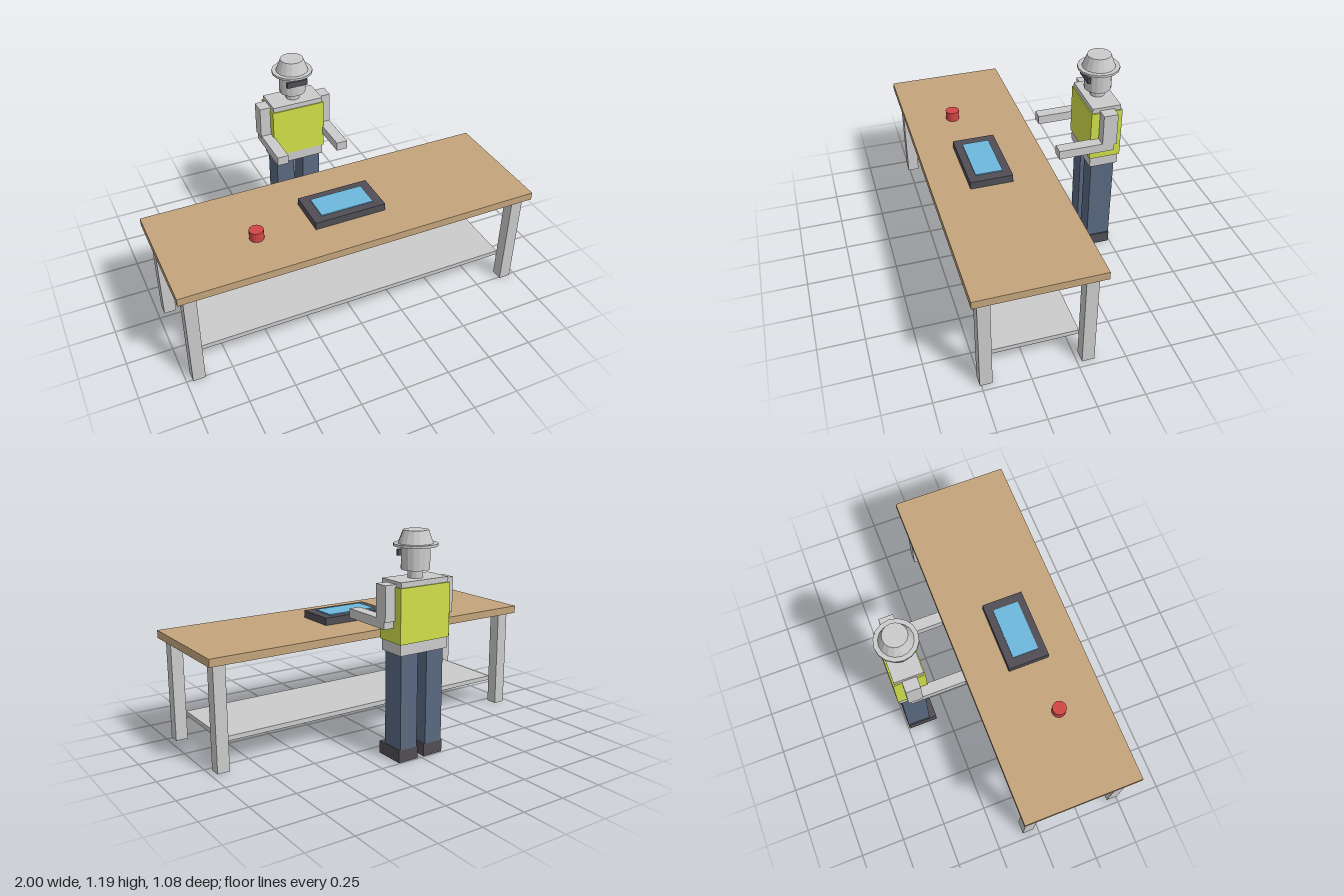
import * as THREE from 'three';

const mat = (color) => new THREE.MeshStandardMaterial({ color, flatShading: true });

export function createModel() {
  const root = new THREE.Group();
  const grey = mat(0xcccccc), wood = mat(0xc4a57c), dark = mat(0x504e54);
  const denim = mat(0x5a6880), lime = mat(0xd0e04a), red = mat(0xd24545), blue = mat(0x6cb8dc);

  const group = (name) => {
    const g = new THREE.Group();
    g.name = name;
    root.add(g);
    return g;
  };
  const add = (parent, name, geometry, material, x, y, z) => {
    const mesh = new THREE.Mesh(geometry, material);
    mesh.name = name;
    mesh.position.set(x, y, z);
    parent.add(mesh);
  };
  // box given by its extents along each axis
  const box = (parent, name, material, [x0, x1], [y0, y1], [z0, z1]) =>
    add(parent, name, new THREE.BoxGeometry(x1 - x0, y1 - y0, z1 - z0), material,
      (x0 + x1) / 2, (y0 + y1) / 2, (z0 + z1) / 2);
  // upright cylinder or cone section between two heights
  const drum = (parent, name, material, rTop, rBottom, [y0, y1], x, z, sides = 16) =>
    add(parent, name, new THREE.CylinderGeometry(rTop, rBottom, y1 - y0, sides), material,
      x, (y0 + y1) / 2, z);
  // the same span on the left (+1) or right (-1) side
  const side = (s, a, b) => (s > 0 ? [a, b] : [-b, -a]);

  // Bench
  const bench = group('bench');
  box(bench, 'tabletop', wood, [-1, 1], [0.57, 0.613], [-0.127, 0.54]);
  box(bench, 'shelf', grey, [-0.9, 0.9], [0.134, 0.16], [-0.025, 0.443]);
  for (const s of [1, -1]) {
    box(bench, 'frontTableLeg', grey, side(s, 0.9, 0.967), [0, 0.57], [0.443, 0.508]);
    box(bench, 'backTableLeg', grey, side(s, 0.9, 0.967), [0, 0.57], [-0.091, -0.025]);
  }

  // Items on the bench
  const panel = group('controlPanel');
  box(panel, 'panelBody', dark, [-0.2, 0.2], [0.613, 0.655], [0.107, 0.34]);
  box(panel, 'screen', blue, [-0.148, 0.148], [0.65, 0.661], [0.15, 0.298]);
  drum(root, 'redButton', red, 0.039, 0.039, [0.613, 0.667], -0.5, 0.273);

  // Standing figure: body and limbs
  const figure = group('figure');
  box(figure, 'torso', grey, [-0.147, 0.147], [0.575, 0.948], [-0.506, -0.346]);
  box(figure, 'vest', lime, [-0.154, 0.154], [0.635, 0.92], [-0.514, -0.34]);
  for (const s of [1, -1]) {
    box(figure, 'shoe', dark, side(s, 0.02, 0.14), [0, 0.067], [-0.493, -0.32]);
    box(figure, 'trouserLeg', denim, side(s, 0.028, 0.133), [0.067, 0.575], [-0.493, -0.36]);
    box(figure, 'upperArm', grey, side(s, 0.15, 0.213), [0.748, 0.934], [-0.466, -0.386]);
    box(figure, 'forearm', grey, side(s, 0.147, 0.21), [0.71, 0.76], [-0.453, -0.145]);
  }

  // Standing figure: head, goggles and hat
  const cz = -0.426;
  drum(figure, 'neck', grey, 0.04, 0.04, [0.948, 0.99], 0, cz, 12);
  drum(figure, 'head', grey, 0.074, 0.074, [0.99, 1.11], 0, cz);
  box(figure, 'goggles', dark, [-0.06, 0.06], [1.052, 1.085], [-0.361, -0.346]);
  drum(figure, 'hatBrim', grey, 0.114, 0.114, [1.108, 1.121], 0, cz);
  drum(figure, 'hatCrown', grey, 0.065, 0.09, [1.121, 1.188], 0, cz);

  return root;
}
